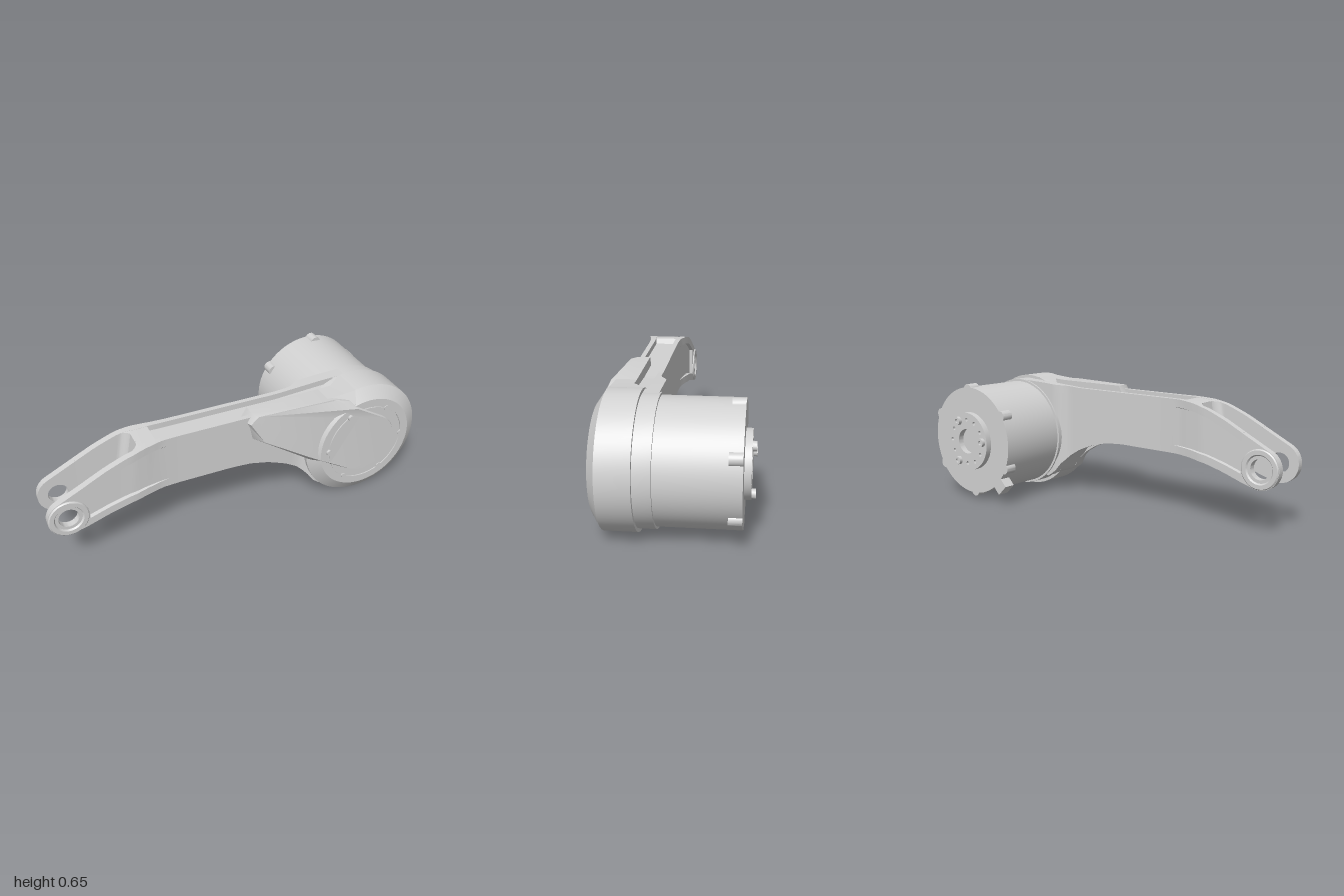
import * as THREE from 'three';
import { toCreasedNormals } from 'three/addons/utils/BufferGeometryUtils.js';

const CX = 0.676, CY = 0.324; // motor axis
const EX = -0.9, EY = 0.33;   // fork eye axis
const ARM_Z = 0.193;          // mid-plane of the arm
const rad = THREE.MathUtils.degToRad;

// Linear interpolation in a small table of [x, value]
function at(table, x) {
  for (let i = 1; i < table.length; i++) {
    const [x0, v0] = table[i - 1], [x1, v1] = table[i];
    if (x <= x1) return v0 + (v1 - v0) * Math.max(0, (x - x0) / (x1 - x0));
  }
  return table[table.length - 1][1];
}

// Makes a solid face outward and gives it creased normals
function finish(geo, crease = 30) {
  const g = geo.index ? geo.toNonIndexed() : geo;
  const p = g.attributes.position, a = new THREE.Vector3(), b = a.clone(), c = a.clone();
  let volume = 0;
  for (let i = 0; i < p.count; i += 3) {
    a.fromBufferAttribute(p, i); b.fromBufferAttribute(p, i + 1); c.fromBufferAttribute(p, i + 2);
    volume += a.dot(b.cross(c));
  }
  const out = new THREE.BufferGeometry(), pos = [];
  for (let i = 0; i < p.count; i += 3) {
    for (const k of volume < 0 ? [0, 2, 1] : [0, 1, 2]) pos.push(p.getX(i + k), p.getY(i + k), p.getZ(i + k));
  }
  out.setAttribute('position', new THREE.Float32BufferAttribute(pos, 3));
  return toCreasedNormals(out, rad(crease));
}

// Solid skinned over equal-length loops; caps are triangulated in the (u, v) axes
function loft(loops, u, v) {
  const pos = [], tri = (...pts) => pts.forEach((q) => pos.push(...q));
  const n = loops[0].length;
  for (let i = 0; i + 1 < loops.length; i++) {
    for (let j = 0; j < n; j++) {
      const k = (j + 1) % n, A = loops[i], B = loops[i + 1];
      tri(A[j], A[k], B[k], A[j], B[k], B[j]);
    }
  }
  [loops[0], loops[loops.length - 1]].forEach((loop, end) => {
    const flat = loop.map((q) => new THREE.Vector2(q[u], q[v]));
    const flip = (THREE.ShapeUtils.area(flat) < 0) !== (end === 0);
    for (const [a, b, c] of THREE.ShapeUtils.triangulateShape(flat, [])) {
      if (flip) tri(loop[a], loop[c], loop[b]); else tri(loop[a], loop[b], loop[c]);
    }
  });
  const g = new THREE.BufferGeometry();
  g.setAttribute('position', new THREE.Float32BufferAttribute(pos, 3));
  return finish(g);
}

// Turned part along z from [radius, z] points
function turned(points, x, y, segments = 64) {
  const g = new THREE.LatheGeometry(points.map((q) => new THREE.Vector2(...q)), segments);
  return finish(g.rotateX(Math.PI / 2).translate(x, y, 0));
}

function circleHole(x, y, r) {
  return new THREE.Path().absarc(x, y, r, 0, Math.PI * 2, true);
}

// Sorted x positions for a loft along the arm
function stations(from, to, count, extra = []) {
  const xs = [...extra];
  for (let i = 0; i <= count; i++) xs.push(from + (to - from) * i / count);
  return xs.sort((a, b) => a - b);
}

// Arm outline and thickness along x
const TOP = [[-0.8, 0.492], [-0.7, 0.542], [-0.6, 0.582], [-0.52, 0.602], [-0.43, 0.61], [0.25, 0.61], [0.5, 0.625], [0.67, 0.63]];
const BOTTOM = [[-0.8, 0.255], [-0.7, 0.288], [-0.6, 0.314], [-0.5, 0.328], [-0.42, 0.332], [-0.05, 0.332], [0.05, 0.325],
  [0.15, 0.302], [0.25, 0.262], [0.32, 0.22], [0.37, 0.175], [0.41, 0.12], [0.46, 0.085], [0.5, 0.09], [0.67, 0.05]];
const OUTER = [[-0.8, 0.115], [-0.57, 0.112], [-0.5, 0.1], [-0.42, 0.084], [-0.34, 0.08], [0.33, 0.08], [0.36, 0.09], [0.39, 0.115]];
const INNER = [[-0.8, 0.08], [-0.56, 0.078], [-0.5, 0.06], [-0.4, 0.055]];
const RECESS = [[-0.8, 0.02], [-0.6, 0.018], [-0.5, 0.01], [-0.4, 0]];
const TOP_POCKET = [[-0.441, 0.001], [-0.43, 0.03], [0.565, 0.03], [0.575, 0.001]];
const BOTTOM_POCKET = [[-0.421, 0.001], [-0.41, 0.035], [0.28, 0.035], [0.34, 0.001]];

export function createModel() {
  const model = new THREE.Group();
  const metal = new THREE.MeshStandardMaterial({ color: 0xd2d2d2 });
  metal.name = 'light grey metal';
  const add = (name, geo) => {
    const mesh = new THREE.Mesh(geo, metal);
    mesh.name = name;
    model.add(mesh);
  };

  // Two side plates of the arm, each ending in a recessed fork prong with an eye
  for (const s of [1, -1]) {
    const z = (h) => ARM_Z + s * h;
    add('armSidePlate', loft(stations(-0.8, 0.67, 50).map((x) => {
      const t = at(TOP, x), b = at(BOTTOM, x), o = at(OUTER, x), f = o - at(RECESS, x), i = at(INNER, x);
      return [[b, i], [b, o], [b + 0.04, o], [b + 0.043, f], [t - 0.043, f], [t - 0.04, o], [t, o], [t, i]]
        .map(([y, h]) => [x, y, z(h)]);
    }), 1, 2));

    // Rounded corner at the closed end of the fork slot
    add('slotCorner', loft(stations(-0.575, -0.525, 8).map((x) => {
      const t = (x + 0.575) / 0.05, i = at(INNER, x), low = x - 0.05;
      const h = i - 0.045 * (1 - Math.sqrt(Math.max(0, 1 - t * t)));
      return [[low, at(BOTTOM, low) + 0.001, z(h)], [low, at(BOTTOM, low) + 0.001, z(i + 0.004)],
        [x, at(TOP, x) - 0.001, z(i + 0.004)], [x, at(TOP, x) - 0.001, z(h)]];
    }), 1, 2));

    const eye = new THREE.Shape();
    eye.moveTo(-0.799, 0.255).lineTo(-0.799, 0.492);
    eye.absarc(EX, EY, 0.1, rad(117), rad(287), false);
    eye.holes.push(circleHole(EX, EY, 0.068));
    const web = new THREE.ExtrudeGeometry(eye, { depth: 0.035, bevelEnabled: false, curveSegments: 32 });
    add('forkEyeWeb', finish(web.translate(0, 0, s > 0 ? ARM_Z + 0.08 : ARM_Z - 0.115)));

    add('forkEyeRing', turned([[0.05, 0.08], [0.098, 0.08], [0.098, 0.118], [0.093, 0.123], [0.072, 0.123],
      [0.066, 0.115], [0.05, 0.115], [0.05, 0.08]].map(([r, h]) => [r, z(h)]), EX, EY, 48));
  }

  // Central web with a slanted slot end, leaving long pockets above and below
  add('armWeb', loft(stations(-0.53, 0.66, 44, [-0.441, -0.43, -0.421, -0.41, 0.565, 0.575]).map((x) => {
    const low = x - at([[-0.53, 0.05], [-0.44, 0]], x), h = at(INNER, x) + 0.004;
    const t = at(TOP, x) - at(TOP_POCKET, x), b = at(BOTTOM, low) + at(BOTTOM_POCKET, low);
    return [[low, b, ARM_Z - h], [low, b, ARM_Z + h], [x, t, ARM_Z + h], [x, t, ARM_Z - h]];
  }), 1, 2));

  // Motor body, adapter ring and chamfered front housing
  add('motorBody', turned([[0, -0.31], [0.295, -0.31], [0.295, 0.07], [0, 0.07]], CX, CY));
  add('adapterRing', turned([[0, 0.07], [0.307, 0.07], [0.307, 0.153], [0, 0.153]], CX, CY));
  add('frontHousing', turned([[0, 0.152], [0.324, 0.152], [0.324, 0.308], [0.262, 0.35], [0.219, 0.35],
    [0.219, 0.344], [0.213, 0.344], [0.213, 0.35], [0, 0.35]], CX, CY));

  // Cover plate reaching from the housing along the arm, with a bevelled edge
  const arc = (r) => Array.from({ length: 25 }, (_, i) => {
    const a = rad(240 + i * 178 / 24);
    return [CX + r * Math.cos(a), CY + r * Math.sin(a)];
  });
  const rim = [[0.05, 0.63], [0.02, 0.58], [0.055, 0.48], [0.36, 0.29], ...arc(0.178), [0.56, 0.605], [0.47, 0.63]];
  const face = [[0.07, 0.625], [0.035, 0.58], [0.105, 0.468], [0.37, 0.312], ...arc(0.165), [0.6, 0.561], [0.49, 0.623]];
  const front = (x) => at([[0.02, 0.292], [0.1, 0.314], [0.4, 0.357], [0.56, 0.361]], x);
  add('coverPlate', loft([
    rim.map(([x, y]) => [x, y, 0.21]),
    rim.map(([x, y]) => [x, y, front(x) - 0.03]),
    face.map(([x, y]) => [x, y, Math.min(front(x), 0.361 - Math.max(0, y - 0.585) * 0.8)]),
  ], 0, 1));

  // Shoulder blending the cover into the top of the housing
  const shoulder = [[0.45, 0.63], [0.52, 0.633], [0.6, 0.64], [0.675, 0.647], [0.675, 0.4], [0.45, 0.4]];
  add('coverShoulder', loft([
    shoulder.map(([x, y]) => [x, y, x < 0.56 ? 0.21 : 0.153]),
    shoulder.map(([x, y]) => [x, y, 0.308]),
    shoulder.map(([x, y]) => [x, y > 0.5 ? y - 0.06 : y, x < 0.5 ? 0.325 : 0.346]),
  ], 0, 1));

  // Small screws around the cover
  for (let i = 0; i < 6; i++) {
    const a = rad(i * 60), x = CX + 0.217 * Math.cos(a), y = CY + 0.217 * Math.sin(a);
    const z = i === 2 || i === 3 ? front(x) : 0.35;
    add('coverScrew', turned([[0, z - 0.01], [0.015, z - 0.01], [0.015, z + 0.004], [0, z + 0.004]], x, y, 20));
  }

  // Rear boss with a centre bore and a ring of bolt holes
  const boss = new THREE.Shape().absarc(CX, CY, 0.16, 0, Math.PI * 2, false);
  boss.holes.push(circleHole(CX, CY, 0.068));
  for (let i = 0; i < 9; i++) {
    const a = rad([30, 90, 120, 150, 210, 240, 270, 330, 0][i]);
    boss.holes.push(circleHole(CX + 0.122 * Math.cos(a), CY + 0.122 * Math.sin(a), 0.01));
  }
  const bossGeo = new THREE.ExtrudeGeometry(boss, { depth: 0.032, bevelEnabled: false, curveSegments: 32 });
  add('rearBoss', finish(bossGeo.translate(0, 0, -0.342)));
  for (const [x, y] of [[0.737, 0.433], [0.55, 0.334], [0.742, 0.21]]) {
    add('rearBolt', turned([[0, -0.335], [0.023, -0.335], [0.023, -0.361], [0.012, -0.361], [0.012, -0.35], [0, -0.35]], x, y, 20));
  }

  // Round lugs around the rear rim and one larger connector
  for (let i = 0; i < 6; i++) {
    const a = rad(26 + i * 60);
    add('rearLug', turned([[0, -0.31], [0.03, -0.31], [0.03, -0.249], [0, -0.249]],
      CX + 0.283 * Math.cos(a), CY + 0.283 * Math.sin(a), 24));
  }
  const connector = new THREE.BoxGeometry(0.085, 0.075, 0.061);
  add('rearConnector', connector.translate(0.3025, 0, 0).rotateZ(rad(226)).translate(CX, CY, -0.2795));

  return model;
}
